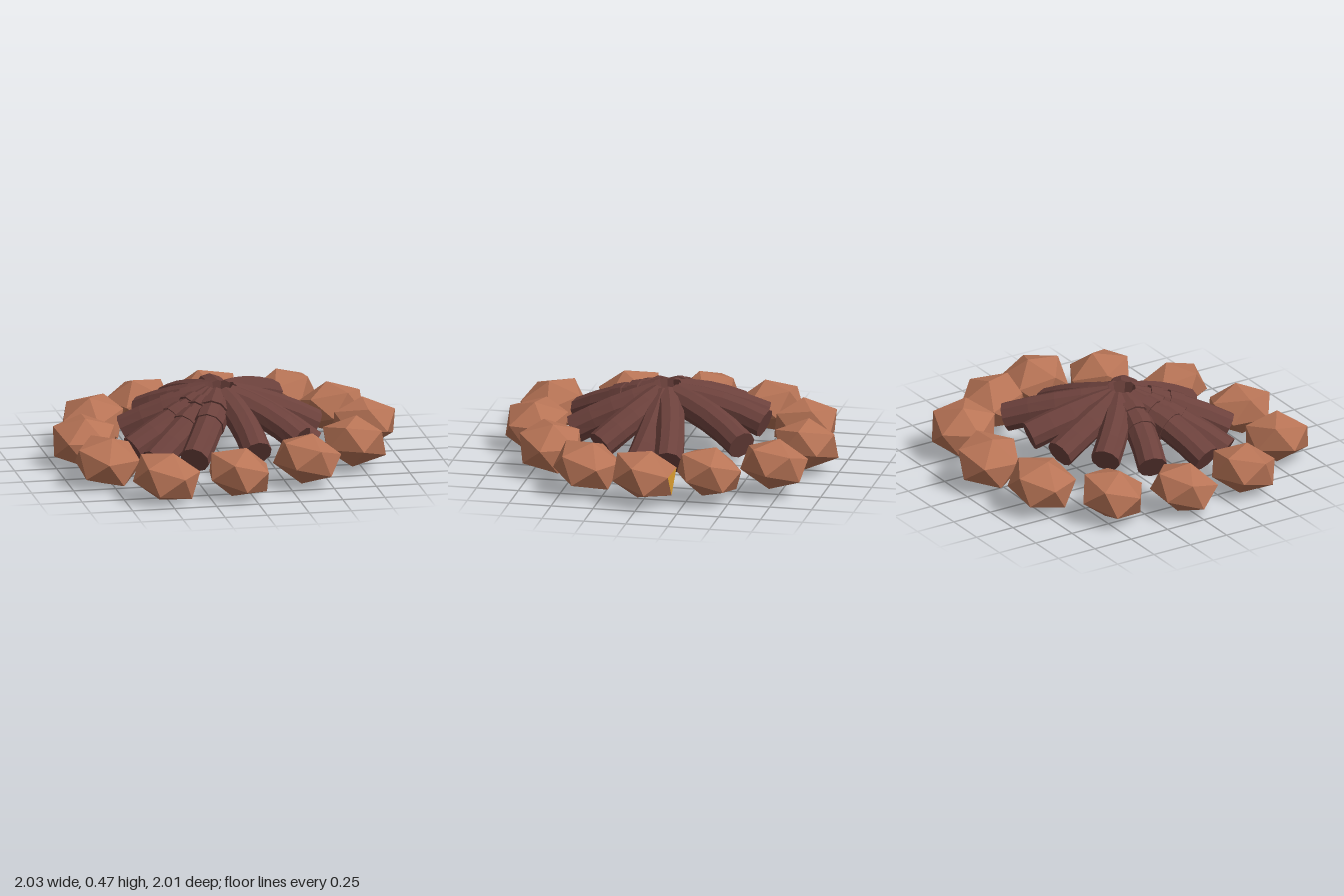
import * as THREE from 'three';

const paint = (name, color) => Object.assign(new THREE.MeshStandardMaterial({ color, flatShading: true }), { name });

// Log: a cylinder bent along a curve from its outer end to its inner end
function bentLog(curve, radius, from = 0, to = 1) {
  const geo = new THREE.CylinderGeometry(radius, radius, 1, 10, 4);
  const pos = geo.attributes.position;
  const up = new THREE.Vector3(0, 1, 0);
  for (let i = 0; i < pos.count; i++) {
    const t = from + (pos.getY(i) + 0.5) * (to - from);
    const tangent = curve.getTangent(t);
    const side = tangent.clone().cross(up).normalize();
    const lift = side.clone().cross(tangent);
    const p = curve.getPoint(t).addScaledVector(side, pos.getX(i)).addScaledVector(lift, pos.getZ(i));
    pos.setXYZ(i, p.x, p.y, p.z);
  }
  geo.computeVertexNormals();
  return geo;
}

// Stone: a flattened, point-up icosahedron that leans sideways as seen from outside the ring
function stoneGeometry(x, z) {
  const geo = new THREE.IcosahedronGeometry(0.212, 0);
  geo.rotateX(-Math.atan((1 + Math.sqrt(5)) / 2));
  geo.rotateY(-Math.PI / 2 - 0.04);
  geo.scale(1, 0.71, 1);
  geo.rotateZ(-0.29);
  geo.rotateY(Math.atan2(x, z));
  return geo;
}

// Paint the one triangle that faces most nearly along a direction
function paintFace(geo, direction) {
  const p = geo.attributes.position;
  const tri = new THREE.Triangle();
  const normal = new THREE.Vector3();
  let best = 0, bestDot = -Infinity;
  for (let i = 0; i < p.count; i += 3) {
    const dot = tri.setFromAttributeAndIndices(p, i, i + 1, i + 2).getNormal(normal).dot(direction);
    if (dot > bestDot) { bestDot = dot; best = i; }
  }
  geo.clearGroups();
  geo.addGroup(0, best, 0);
  geo.addGroup(best, 3, 1);
  geo.addGroup(best + 3, p.count - best - 3, 0);
}

export function createModel() {
  const model = new THREE.Group();
  model.name = 'campfire';
  const stone = paint('stone', 0xb87456);
  const wood = paint('wood', 0x6c413c);
  const amber = paint('amber', 0xe0a030);
  const add = (parent, name, geo, mat) => {
    const mesh = new THREE.Mesh(geo, mat);
    mesh.name = name;
    parent.add(mesh);
    return mesh;
  };

  // Ring of stones
  const stones = new THREE.Group();
  stones.name = 'stoneRing';
  model.add(stones);
  const places = [
    [0.05, -0.82], [0.49, -0.72], [0.71, -0.38], [0.83, -0.02], [0.70, 0.35], [0.36, 0.64],
    [-0.08, 0.82], [-0.51, 0.81], [-0.78, 0.41], [-0.83, -0.03], [-0.70, -0.44], [-0.37, -0.72],
  ];
  places.forEach(([x, z], i) => {
    const geo = stoneGeometry(x, z);
    let mat = stone;
    if (i === 3) {
      paintFace(geo, new THREE.Vector3(0.1, -0.2, -1));
      mat = [stone, amber];
    }
    add(stones, 'stone', geo, mat).position.set(x, 0.17 - 0.015 * z + 0.015 * x, z);
  });

  // Logs leaning together over the middle: outer end x, y, z
  const logs = new THREE.Group();
  logs.name = 'logPile';
  model.add(logs);
  const ends = [
    [0.02, 0.28, -0.56], [0.37, 0.25, -0.50], [0.55, 0.17, -0.10], [0.50, 0.10, 0.10],
    [0.38, 0.20, 0.34], [0.08, 0.19, 0.56], [-0.30, 0.18, 0.60], [-0.51, 0.14, 0.46],
    [-0.60, 0.17, 0.27], [-0.58, 0.20, -0.09], [-0.43, 0.24, -0.32], [-0.23, 0.25, -0.51],
  ];
  const knotted = [6, 7, 8, 9];
  ends.forEach(([x, y, z], i) => {
    const outer = new THREE.Vector3(x, y, z);
    const flat = new THREE.Vector3(x + 0.04, 0, z - 0.03).normalize();
    const inner = new THREE.Vector3(-0.04, 0.392, 0.03).addScaledVector(flat, 0.065);
    const middle = outer.clone().lerp(inner, 0.5);
    middle.y += 0.04;
    middle.x += flat.z * 0.03;
    middle.z -= flat.x * 0.03;
    const curve = new THREE.QuadraticBezierCurve3(outer, middle, inner);
    add(logs, 'log', bentLog(curve, 0.087), wood);
    // Raised knots in the bark
    if (knotted.includes(i)) {
      add(logs, 'barkKnot', bentLog(curve, 0.095, 0.5, 0.64), wood);
      add(logs, 'barkKnot', bentLog(curve, 0.098, 0.72, 0.84), wood);
    }
  });
  return model;
}
